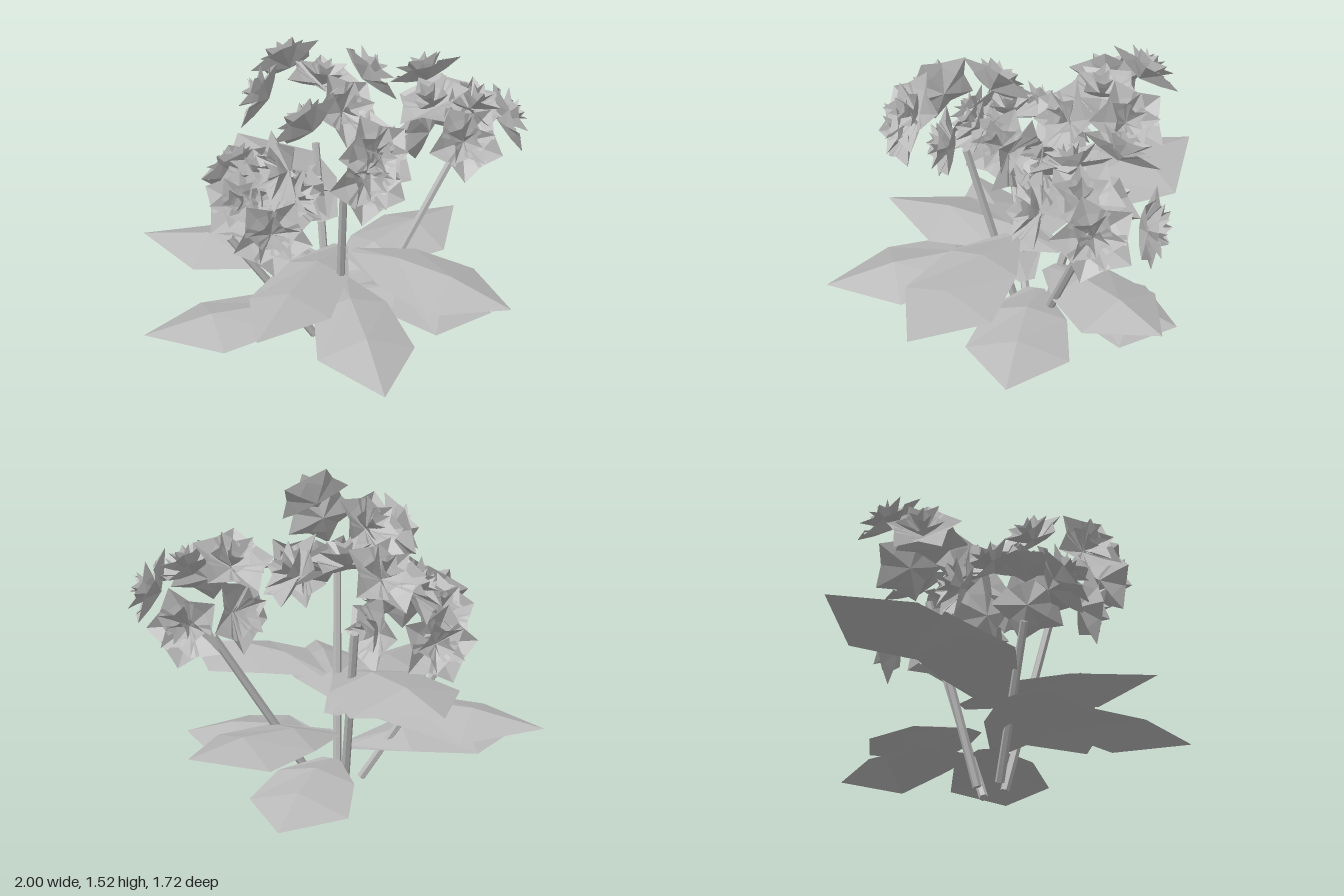
import * as THREE from 'three';

const V = (a) => new THREE.Vector3(...a);
const UP = new THREE.Vector3(0, 1, 0);

// Faceted sheet from points and triangle indices
function sheet(points, index) {
  const g = new THREE.BufferGeometry();
  g.setAttribute('position', new THREE.Float32BufferAttribute(points.flat(), 3));
  g.setIndex(index);
  const flat = g.toNonIndexed();
  flat.computeVertexNormals();
  return flat;
}

// Roof-shaped leaf: raised midrib, drooping edges, pointed end
function leafGeometry(base, tip, halfWidth) {
  const a = V(base), b = V(tip);
  const side = new THREE.Vector3().subVectors(b, a).setY(0).normalize().cross(UP);
  const stations = [[0, 0.18, 0, 0], [0.3, 0.78, 0.065, 0.05], [0.64, 1, 0.065, 0.085], [1, 0, 0, 0]];
  const points = [], index = [];
  stations.forEach(([t, w, lift, droop], i) => {
    const mid = a.clone().lerp(b, t);
    mid.y += lift;
    for (const s of [-1, 0, 1]) {
      const p = mid.clone().addScaledVector(side, s * w * halfWidth);
      if (s) p.y -= droop;
      points.push(p.toArray());
    }
    if (i < 3) {
      for (const k of [0, 1]) {
        const q = i * 3 + k;
        index.push(q, q + 1, q + 4, q, q + 4, q + 3);
      }
    }
  });
  return sheet(points, index);
}

// Folded kite petal, leaning up from the flower centre by the tilt
function petalGeometry(length, width, tilt) {
  const g = sheet(
    [[0, 0, 0], [length * 0.52, length * 0.25, -width], [length * 0.55, 0, 0],
      [length * 0.52, length * 0.25, width], [length, length * 0.05, 0]],
    [0, 2, 1, 0, 3, 2, 1, 2, 4, 2, 3, 4]);
  return g.rotateZ(tilt);
}

export function createModel() {
  const model = new THREE.Group();
  model.name = 'floweringPlant';
  const grey = new THREE.MeshStandardMaterial({ color: 0xb8b8b8, flatShading: true, side: THREE.DoubleSide });
  grey.name = 'plant grey';

  // Stems: bottom and top
  const stems = [
    [[-0.05, 0.02, -0.02], [-0.44, 0.67, 0.17]],
    [[0.0, 0.02, -0.14], [-0.13, 0.97, -0.37]],
    [[0.08, 0.02, -0.02], [0.16, 1.06, 0.23]],
    [[0.16, 0.02, -0.14], [0.56, 0.9, -0.45]],
  ];
  for (const [from, to] of stems) {
    const a = V(from), b = V(to);
    const dir = b.clone().sub(a);
    const stem = new THREE.Mesh(new THREE.CylinderGeometry(0.02, 0.023, dir.length(), 6), grey);
    stem.name = 'stem';
    stem.position.copy(a).lerp(b, 0.5);
    stem.quaternion.setFromUnitVectors(UP, dir.normalize());
    model.add(stem);
  }

  // Leaves: base, tip, half width
  const leaves = [
    [[0.0, 0.45, -0.07], [-1.0, 0.47, -0.08], 0.24],
    [[0.02, 0.2, -0.04], [-0.81, 0.22, 0.48], 0.24],
    [[0.08, 0.43, 0.02], [0.51, 0.36, 0.87], 0.24],
    [[0.04, 0.46, -0.23], [-0.13, 0.48, 0.76], 0.22],
    [[0.14, 0.57, 0.0], [1.0, 0.53, 0.27], 0.25],
    [[0.0, 0.66, -0.14], [-0.67, 0.78, -0.74], 0.3],
    [[0.05, 0.2, -0.2], [0.09, 0.12, -0.85], 0.26],
    [[0.15, 0.27, -0.12], [0.86, 0.21, -0.16], 0.26],
    [[0.04, 0.33, -0.16], [0.54, 0.43, -0.84], 0.24],
  ];
  for (const args of leaves) {
    const leaf = new THREE.Mesh(leafGeometry(...args), grey);
    leaf.name = 'leaf';
    model.add(leaf);
  }

  // Petal rings of a flower: count, shared geometry, turn, height
  const rings = [
    [5, petalGeometry(0.21, 0.1, 0.22), 0, 0],
    [5, petalGeometry(0.17, 0.06, 0.65), 0.63, 0.01],
    [4, petalGeometry(0.14, 0.04, 1.1), 0.2, 0.015],
  ];
  function makeFlower(centre, dir, spin) {
    const flower = new THREE.Group();
    flower.name = 'flower';
    for (const [count, geometry, turn, height] of rings) {
      for (let i = 0; i < count; i++) {
        const petal = new THREE.Mesh(geometry, grey);
        petal.name = 'petal';
        petal.rotation.y = turn + spin + (i / count) * Math.PI * 2;
        petal.position.y = height;
        flower.add(petal);
      }
    }
    flower.quaternion.setFromUnitVectors(UP, dir);
    flower.position.copy(centre).addScaledVector(dir, -0.07);
    return flower;
  }

  // Flower heads: the point the flowers face away from, then their centres
  const heads = [
    [[-0.29, 0.8, 0.12], [[-0.49, 0.87, -0.16], [-0.3, 1.05, 0.14], [-0.2, 0.98, 0.3],
      [-0.13, 0.87, 0.45], [-0.12, 0.87, -0.12], [-0.33, 0.98, 0.35], [-0.46, 1.0, 0.0],
      [-0.09, 0.94, 0.14]]],
    [[-0.13, 1.08, -0.37], [[-0.34, 1.36, -0.55], [-0.43, 1.24, -0.34], [-0.09, 1.36, -0.38],
      [0.12, 1.33, -0.56], [0.08, 1.26, -0.22]]],
    [[0.14, 1.17, 0.23], [[0.37, 1.37, 0.44], [0.35, 1.26, 0.5], [0.28, 1.13, -0.07],
      [-0.06, 1.35, 0.13], [-0.11, 1.23, 0.45]]],
    [[0.55, 1.03, -0.45], [[0.84, 1.16, -0.56], [0.68, 1.15, -0.22], [0.56, 1.06, -0.77],
      [0.38, 1.36, -0.58], [0.46, 1.3, -0.36], [0.38, 1.06, -0.5], [0.68, 1.27, -0.46]]],
  ];
  for (const [hub, centres] of heads) {
    const head = new THREE.Group();
    head.name = 'flowerHead';
    centres.forEach((c, i) => {
      const dir = V(c).sub(V(hub)).normalize();
      head.add(makeFlower(V(c), dir, i * 1.3));
    });
    model.add(head);
  }
  return model;
}
